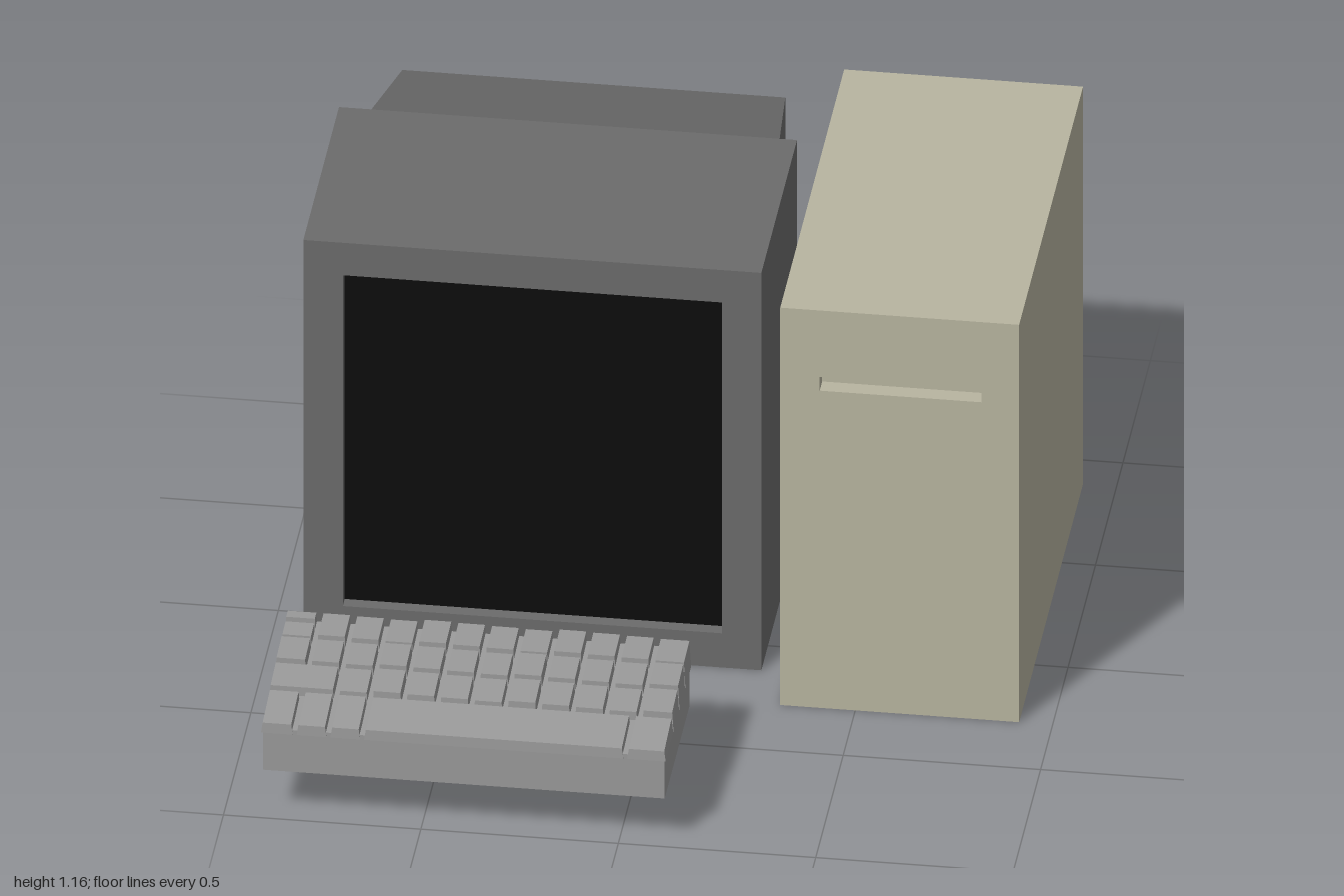
import * as THREE from 'three';

const mat = (color) => new THREE.MeshStandardMaterial({ color, flatShading: true });

function add(parent, name, geometry, material) {
  const mesh = new THREE.Mesh(geometry, material);
  mesh.name = name;
  parent.add(mesh);
  return mesh;
}

// Box given by its limits
function boxGeo(x0, x1, y0, y1, z0, z1) {
  return new THREE.BoxGeometry(x1 - x0, y1 - y0, z1 - z0)
    .translate((x0 + x1) / 2, (y0 + y1) / 2, (z0 + z1) / 2);
}

// Moves every corner of a geometry by a rule
function reshape(geo, rule) {
  const p = geo.attributes.position;
  const v = new THREE.Vector3();
  for (let i = 0; i < p.count; i++) {
    rule(v.fromBufferAttribute(p, i));
    p.setXYZ(i, v.x, v.y, v.z);
  }
  geo.computeVertexNormals();
  return geo;
}

const rect = (T, x0, x1, y0, y1) => new T([
  new THREE.Vector2(x0, y0), new THREE.Vector2(x1, y0),
  new THREE.Vector2(x1, y1), new THREE.Vector2(x0, y1),
]);

// Rectangular block with a rectangular opening running along z
function framedBlock(outer, hole, z0, z1) {
  const shape = rect(THREE.Shape, ...outer);
  shape.holes.push(rect(THREE.Path, ...hole));
  return new THREE.ExtrudeGeometry(shape, { depth: z1 - z0, bevelEnabled: false }).translate(0, 0, z0);
}

function makeMonitor() {
  const monitor = new THREE.Group();
  monitor.name = 'monitor';
  const grey = mat(0x6b6b6b);
  const opening = [-0.82, 0.14, 0.10, 1.07];
  add(monitor, 'monitorCase', framedBlock([-0.92, 0.24, 0, 1.165], opening, -0.53, 0.12), grey);
  add(monitor, 'screen', boxGeo(...opening, -0.53, 0.085), mat(0x0c0c0c));
  // Tapered tube housing at the back
  const housing = reshape(boxGeo(-0.87, 0.19, 0.05, 1.115, -1, -0.53), (v) => {
    if (v.z < -0.9) {
      v.x += v.x < -0.3 ? 0.045 : -0.045;
      v.y = v.y < 0.5 ? 0.03 : 1.0;
    }
  });
  add(monitor, 'tubeHousing', housing, grey);
  return monitor;
}

function makeTower() {
  const tower = new THREE.Group();
  tower.name = 'tower';
  const beige = mat(0xb8b5a0);
  const outer = [0.31, 0.915, 0, 1.165];
  add(tower, 'towerCase', boxGeo(...outer, -0.885, 0.235), beige);
  add(tower, 'towerFront', framedBlock(outer, [0.41, 0.82, 0.93, 0.97], 0.235, 0.28), beige);
  return tower;
}

function makeKeyboard() {
  const keyboard = new THREE.Group();
  keyboard.name = 'keyboard';
  const grey = mat(0x999999);
  const left = -0.905, pitch = 1.025 / 12, gap = 0.005;

  // Wedge base under the keys
  const base = reshape(boxGeo(-0.9, 0.117, 0.14, 0.3, 0.54, 0.998), (v) => {
    if (v.y > 0.2) v.y = v.z > 0.8 ? 0.262 : 0.306;
  });
  add(keyboard, 'keyboardBase', base, grey);

  // Rows from front to back: z limits, top heights and key widths in units
  const ones = (n) => Array(n).fill(1);
  const rows = [
    { z: [0.862, 1.0], y: [0.295, 0.278], keys: [1, 1, 1, 7.8, 1.2] },
    { z: [0.755, 0.855], y: [0.313, 0.303], keys: [2, ...ones(10)] },
    { z: [0.648, 0.747], y: [0.324, 0.317], keys: ones(12) },
    { z: [0.535, 0.64], y: [0.331, 0.327], keys: ones(12) },
  ];

  // Key cap with a sloping top, slightly smaller than its foot
  const key = (x0, x1, z0, z1, yBack, yFront, lift) => {
    const xm = (x0 + x1) / 2, zm = (z0 + z1) / 2;
    const cap = reshape(boxGeo(x0, x1, 0.25, 0.35, z0, z1), (v) => {
      if (v.y < 0.3) return;
      v.y = (v.z < zm ? yBack : yFront) + lift;
      v.x += v.x < xm ? 0.004 : -0.004;
      v.z += v.z < zm ? 0.004 : -0.002;
    });
    add(keyboard, 'key', cap, grey);
  };

  rows.forEach(({ z, y, keys }, r) => {
    let x = left;
    keys.forEach((w, i) => {
      const x1 = x + w * pitch;
      const lift = r === 0 ? 0 : (((i * 7 + r * 5) % 4) - 2) * 0.002;
      const a = i ? x + gap : x;
      const b = i < keys.length - 1 ? x1 - gap : x1;
      if (r === 3 && i === 0) {
        // Split corner key
        key(a, b, z[0], 0.571, y[0], y[0], 0);
        key(a, b, 0.577, z[1], y[0], y[1], -0.006);
      } else {
        key(a, b, z[0], z[1], y[0], y[1], lift);
      }
      x = x1;
    });
  });
  return keyboard;
}

export function createModel() {
  const model = new THREE.Group();
  model.name = 'desktopComputer';
  model.add(makeMonitor(), makeTower(), makeKeyboard());
  return model;
}
